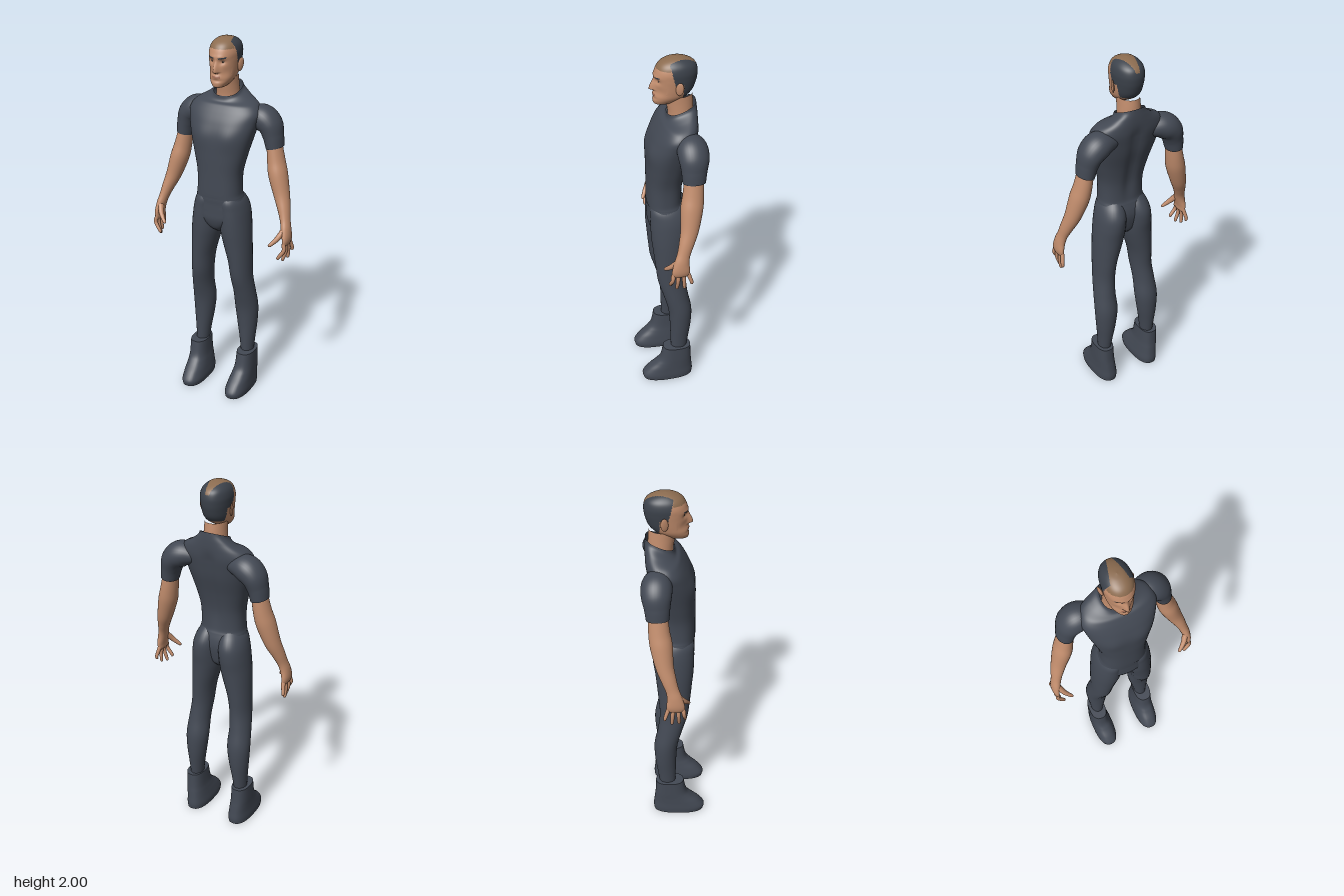
import * as THREE from 'three';

const mat = (name, color, side = THREE.FrontSide) => {
  const m = new THREE.MeshStandardMaterial({ color, side });
  m.name = name;
  return m;
};
const gauss = (d, w) => Math.exp(-(d * d) / (w * w));
const smooth = THREE.MathUtils.smoothstep;

// Horizontal section given by height, half width, front z, back z and centre x
const sec = (y, a, zf, zb, x = 0) => [x, y, (zf + zb) / 2, a, (zf - zb) / 2];

// Smooth skin through elliptical sections [x, y, z, halfWidth, halfDepth]
function loft(sections, { seg = 32, rows = 40, n = 2, flat = false, caps = [false, false], deform } = {}) {
  const path = new THREE.CatmullRomCurve3(sections.map(s => new THREE.Vector3(s[0], s[1], s[2])), false, 'catmullrom');
  const radii = new THREE.CatmullRomCurve3(sections.map(s => new THREE.Vector3(s[3], s[4], 0)), false, 'catmullrom');
  const pos = [], idx = [], up = new THREE.Vector3(0, 1, 0), front = new THREE.Vector3(0, 0, 1);
  const power = v => Math.sign(v) * Math.pow(Math.abs(v), 2 / n);
  for (let i = 0; i <= rows; i++) {
    const t = i / rows, c = path.getPoint(t), r = radii.getPoint(t);
    const dir = flat ? up : path.getTangent(t);
    const u = new THREE.Vector3().crossVectors(dir, front).normalize();
    const v = new THREE.Vector3().crossVectors(u, dir).normalize();
    for (let j = 0; j < seg; j++) {
      const k = (j / seg) * Math.PI * 2;
      const p = c.clone().addScaledVector(u, Math.max(r.x, 0) * power(Math.cos(k)))
        .addScaledVector(v, Math.max(r.y, 0) * power(Math.sin(k)));
      if (deform) deform(p);
      pos.push(p.x, p.y, p.z);
      if (i < rows) {
        const a = i * seg + j, b = i * seg + (j + 1) % seg;
        idx.push(a, a + seg, b, a + seg, b + seg, b);
      }
    }
  }
  // Flat ends with their own corners, so the rims stay sharp
  caps.forEach((on, end) => {
    if (!on) return;
    const from = end ? rows * seg : 0, base = pos.length / 3, c = path.getPoint(end);
    for (let j = 0; j < seg * 3; j++) if (j < seg) pos.push(...pos.slice((from + j) * 3, (from + j) * 3 + 3));
    pos.push(c.x, c.y, c.z);
    for (let j = 0; j < seg; j++) {
      const a = base + j, b = base + (j + 1) % seg;
      idx.push(base + seg, ...(end ? [b, a] : [a, b]));
    }
  });
  const g = new THREE.BufferGeometry();
  g.setAttribute('position', new THREE.Float32BufferAttribute(pos, 3));
  g.setIndex(idx);
  g.computeVertexNormals();
  return g;
}

// Splits a geometry into material groups by the middle of each triangle
function paint(g, zone, count) {
  const lists = Array.from({ length: count }, () => []), p = g.attributes.position, ix = g.index.array;
  for (let i = 0; i < ix.length; i += 3) {
    const t = [ix[i], ix[i + 1], ix[i + 2]];
    const mid = f => (p[f](t[0]) + p[f](t[1]) + p[f](t[2])) / 3;
    lists[zone(Math.abs(mid('getX')), mid('getY'), mid('getZ'))].push(...t);
  }
  g.setIndex(lists.flat());
  let start = 0;
  lists.forEach((l, m) => { g.addGroup(start, l.length, m); start += l.length; });
  return g;
}

// Nose, brow, eye sockets, lips and chin pushed out of the smooth head
function shapeFace(p) {
  if (p.z < 0.01) return;
  const x = Math.abs(p.x), y = p.y;
  const bridge = smooth(y, 1.828, 1.838) * (1 - smooth(y, 1.84, 1.915));
  p.z += 0.026 * bridge * gauss(x, 0.008 + 0.007 * bridge);
  p.z += 0.005 * gauss(y - 1.91, 0.012) * gauss(x - 0.02, 0.035);
  p.z -= 0.010 * gauss(y - 1.888, 0.014) * gauss(x - 0.03, 0.016);
  p.z += 0.005 * gauss(y - 1.812, 0.010) * gauss(x, 0.022);
  p.z -= 0.004 * gauss(y - 1.793, 0.008) * gauss(x, 0.03);
  p.z -= 0.005 * gauss(y - 1.835, 0.025) * gauss(x - 0.045, 0.018);
}

// 0 skin, 1 cropped crown, 2 dark hair and brows, 3 lips
function headZone(x, y, z) {
  const sides = y > 1.875 && z < -0.005 - (1.99 - y) * 0.25;
  const nape = z < -0.075 && y > 1.805;
  if (y > 1.95 && (z > -0.01 || x < 0.05 + z * 0.26)) return 1;
  if (sides || nape) return 2;
  if (z > 0.02 && x > 0.012 && x < 0.048 && Math.abs(y - 1.905 - (x - 0.012) * 0.15) < 0.004) return 2;
  if (z > 0.03 && x < 0.024 && Math.abs(y - 1.812) < 0.005) return 3;
  return 0;
}

export function createModel() {
  const root = new THREE.Group();
  root.name = 'standingMan';
  const cloth = mat('charcoal cloth', 0x434954, THREE.DoubleSide);
  const skin = mat('skin', 0xc28d6d);
  const crown = mat('cropped hair', 0x8c6c50);
  const hair = mat('dark hair', 0x3c424b);
  const lips = mat('lips', 0xa06a54);
  const white = mat('eye white', 0xd0c8c0);
  const iris = mat('iris', 0x2a2420);
  const add = (name, g, m, parent = root) => {
    const mesh = new THREE.Mesh(g, m);
    mesh.name = name;
    parent.add(mesh);
    return mesh;
  };

  // Head and neck
  const head = loft([
    sec(1.755, 0, 0.03, 0.01), sec(1.757, 0.028, 0.06, -0.03), sec(1.775, 0.046, 0.068, -0.065),
    sec(1.80, 0.061, 0.066, -0.105), sec(1.83, 0.068, 0.061, -0.132), sec(1.87, 0.073, 0.06, -0.147),
    sec(1.90, 0.076, 0.06, -0.153), sec(1.93, 0.077, 0.058, -0.154), sec(1.96, 0.07, 0.045, -0.145),
    sec(1.98, 0.055, 0.024, -0.122), sec(1.994, 0.032, -0.01, -0.085), sec(2.0, 0, -0.045, -0.047),
  ], { seg: 112, rows: 110, n: 2.15, flat: true, deform: shapeFace });
  add('head', paint(head, headZone, 4), [skin, crown, hair, lips]);
  add('neck', loft([
    sec(1.63, 0.07, 0.0, -0.13), sec(1.69, 0.062, -0.008, -0.136), sec(1.75, 0.057, 0.0, -0.135),
    sec(1.80, 0.055, 0.01, -0.13),
  ], { flat: true }), skin);

  // Shirt: hollow spine, rounded chest, collar that rises towards the nape
  add('shirt', loft([
    sec(1.165, 0.128, 0.105, -0.082), sec(1.2, 0.122, 0.106, -0.075), sec(1.3, 0.123, 0.105, -0.08),
    sec(1.4, 0.145, 0.105, -0.10), sec(1.5, 0.172, 0.10, -0.128), sec(1.57, 0.19, 0.078, -0.142),
    sec(1.62, 0.198, 0.052, -0.15), sec(1.66, 0.172, 0.025, -0.152), sec(1.69, 0.118, 0.008, -0.152),
    sec(1.712, 0.083, 0.0, -0.15), sec(1.73, 0.072, -0.003, -0.148),
  ], {
    seg: 64, rows: 70, n: 2.4, flat: true, deform: p => {
      if (p.z < -0.05) p.z += 0.012 * gauss(p.x, 0.03) * smooth(p.y, 1.15, 1.3) * (1 - smooth(p.y, 1.6, 1.68));
      else p.z += 0.006 * gauss(Math.abs(p.x) - 0.08, 0.05) * gauss(p.y - 1.5, 0.06);
      p.y -= (p.z + 0.08) * 0.42 * smooth(p.y, 1.65, 1.72);
    },
  }), cloth);

  // Trouser seat joining the two legs
  add('trouserSeat', loft([
    sec(0.96, 0.02, 0.04, -0.04), sec(0.99, 0.06, 0.08, -0.07), sec(1.04, 0.13, 0.1, -0.085),
    sec(1.09, 0.147, 0.102, -0.093), sec(1.13, 0.138, 0.102, -0.09), sec(1.17, 0.125, 0.103, -0.079),
    sec(1.2, 0.115, 0.095, -0.07),
  ], { seg: 48, n: 2.3, flat: true }), cloth);

  for (const s of [1, -1]) {
    const side = s > 0 ? 'left' : 'right';
    const group = part => {
      const g = new THREE.Group();
      g.name = side + part;
      root.add(g);
      return g;
    };
    const mirror = list => list.map(([x, ...rest]) => [x * s, ...rest]);

    // Eye and ear
    const face = group('EyeAndEar');
    const eye = add('eyeball', new THREE.SphereGeometry(0.011, 20, 14), white, face);
    eye.position.set(s * 0.03, 1.888, 0.0335);
    eye.scale.set(1, 0.5, 1);
    const pupil = add('iris', new THREE.SphereGeometry(0.005, 14, 10), iris, face);
    pupil.position.set(s * 0.029, 1.888, 0.0415);
    const ear = add('ear', new THREE.SphereGeometry(1, 20, 16), skin, face);
    ear.scale.set(0.007, 0.036, 0.02);
    ear.position.set(s * 0.081, 1.862, -0.052);
    ear.rotation.set(-0.15, s * -0.35, s * -0.12);

    // Leg and boot
    const leg = group('Leg');
    add('trouserLeg', loft([
      sec(0.2, 0.033, 0.0, -0.085, s * 0.143), sec(0.3, 0.043, 0.003, -0.10, s * 0.14),
      sec(0.4, 0.056, 0.006, -0.113, s * 0.136), sec(0.5, 0.064, 0.015, -0.115, s * 0.132),
      sec(0.6, 0.059, 0.04, -0.096, s * 0.129), sec(0.7, 0.058, 0.068, -0.084, s * 0.12),
      sec(0.8, 0.063, 0.08, -0.09, s * 0.112), sec(0.9, 0.075, 0.09, -0.10, s * 0.097),
      sec(0.97, 0.081, 0.097, -0.108, s * 0.087), sec(1.04, 0.08, 0.1, -0.118, s * 0.081),
      sec(1.1, 0.076, 0.1, -0.117, s * 0.075), sec(1.15, 0.066, 0.098, -0.095, s * 0.068),
      sec(1.19, 0.045, 0.075, -0.06, s * 0.06),
    ], { rows: 60, flat: true }), cloth, leg);
    add('boot', loft([
      sec(0, 0.06, 0.162, -0.122, s * 0.138), sec(0.03, 0.062, 0.166, -0.125, s * 0.138),
      sec(0.07, 0.058, 0.136, -0.121, s * 0.14), sec(0.11, 0.054, 0.092, -0.117, s * 0.143),
      sec(0.15, 0.051, 0.063, -0.113, s * 0.146), sec(0.23, 0.048, 0.047, -0.11, s * 0.148),
    ], { seg: 40, n: 2.5, flat: true, caps: [true, true] }), cloth, leg);

    // Arm: sleeve, bare forearm with palm, fingers and thumb
    const arm = group('Arm');
    add('sleeve', loft(mirror([
      [0.11, 1.595, -0.08, 0.045, 0.055], [0.185, 1.59, -0.09, 0.068, 0.076], [0.232, 1.557, -0.092, 0.064, 0.076],
      [0.254, 1.50, -0.089, 0.053, 0.065], [0.266, 1.44, -0.087, 0.046, 0.058],
    ]), { caps: [false, true] }), cloth, arm);
    add('forearm', loft(mirror([
      [0.26, 1.47, -0.087, 0.038, 0.048], [0.278, 1.37, -0.08, 0.046, 0.054], [0.295, 1.3, -0.07, 0.05, 0.057],
      [0.325, 1.2, -0.055, 0.042, 0.047], [0.35, 1.13, -0.034, 0.033, 0.039], [0.367, 1.075, -0.016, 0.026, 0.034],
      [0.379, 1.03, -0.004, 0.024, 0.039], [0.387, 0.985, 0.001, 0.02, 0.047], [0.385, 0.955, 0.003, 0.014, 0.045],
      [0.384, 0.94, 0.003, 0, 0.03],
    ]), { rows: 60 }), skin, arm);
    const fingers = [[0.04, 0.05, 0.872, 0.358], [0.015, 0.019, 0.856, 0.371], [-0.011, -0.017, 0.864, 0.383], [-0.034, -0.053, 0.895, 0.391]];
    fingers.forEach(([z0, z1, y1, x1], i) => add('finger' + (i + 1), loft(mirror([
      [0.385, 0.965, z0, 0.011, 0.012], [0.39, (0.965 + y1) / 2 + 0.01, (z0 + z1) / 2, 0.0105, 0.0105],
      [x1 + 0.005, y1 + 0.015, z1, 0.009, 0.009], [x1 + 0.001, y1 + 0.003, z1, 0.006, 0.006], [x1, y1, z1, 0, 0],
    ]), { seg: 14, rows: 20 }), skin, arm));
    add('thumb', loft(mirror([
      [0.375, 1.035, 0.012, 0.016, 0.018], [0.355, 0.995, 0.042, 0.014, 0.015], [0.333, 0.968, 0.06, 0.011, 0.011],
      [0.317, 0.952, 0.07, 0.008, 0.008], [0.312, 0.947, 0.073, 0, 0],
    ]), { seg: 16, rows: 24 }), skin, arm);
  }
  return root;
}
